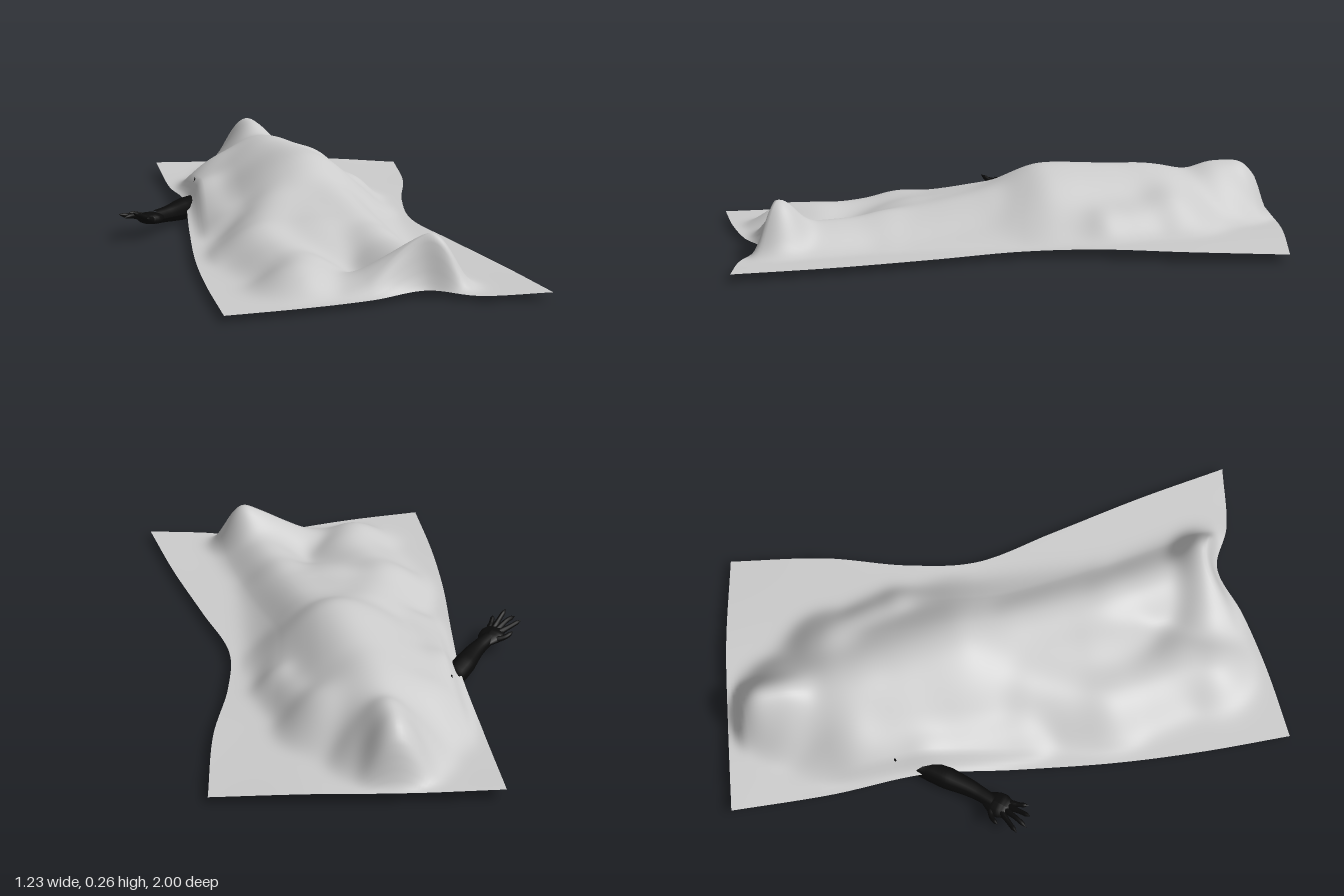
import * as THREE from 'three';

const V = (x, y, z) => new THREE.Vector3(x, y, z);
const curve = pts => new THREE.CatmullRomCurve3(pts.map(p => V(...p)));

// Sheet outline: four border curves, back is -z
const leftEdge = curve([[-0.315, 0.042, -1], [-0.33, 0.03, -0.65], [-0.335, 0.055, -0.32], [-0.38, 0.028, 0], [-0.43, 0.025, 0.35], [-0.455, 0.025, 0.65], [-0.465, 0.022, 0.97]]);
const rightEdge = curve([[0.615, 0.028, -0.84], [0.55, 0.035, -0.5], [0.46, 0.035, -0.22], [0.42, 0.028, 0.03], [0.475, 0.025, 0.33], [0.54, 0.025, 0.67], [0.588, 0.028, 0.998]]);
const backEdge = curve([[-0.315, 0.042, -1], [0, 0.04, -0.957], [0.3, 0.045, -0.91], [0.615, 0.028, -0.84]]);
const frontEdge = curve([[-0.465, 0.022, 0.97], [-0.2, 0.022, 0.955], [0.02, 0.022, 0.925], [0.21, 0.025, 0.88], [0.36, 0.02, 0.955], [0.588, 0.028, 0.998]]);

// Limbs under the sheet: x1, z1, height1, x2, z2, height2, reach
const limbs = [
  [0.01, -0.83, 0.215, 0.01, -0.72, 0.195, 0.14],  // head
  [0.01, -0.72, 0.175, 0.01, -0.5, 0.165, 0.22],   // neck
  [-0.13, -0.54, 0.115, 0.16, -0.54, 0.135, 0.2],  // shoulders
  [0, -0.5, 0.175, 0.04, -0.1, 0.195, 0.35],       // torso
  [0.03, -0.4, 0.16, 0.08, -0.1, 0.175, 0.24],     // belly
  [0.03, -0.1, 0.175, 0, 0.3, 0.115, 0.35],        // hips
  [-0.19, -0.52, 0.09, -0.24, -0.3, 0.075, 0.15],  // right upper arm
  [-0.24, -0.3, 0.075, -0.22, 0.05, 0.075, 0.15],
  [0.22, -0.52, 0.09, 0.28, -0.28, 0.075, 0.11],   // left arm
  [0.28, -0.28, 0.075, 0.22, 0.05, 0.05, 0.11],
  [-0.1, 0.1, 0.13, -0.2, 0.36, 0.095, 0.2],       // right leg
  [-0.2, 0.36, 0.095, -0.14, 0.66, 0.075, 0.18],
  [0.12, 0.1, 0.13, 0.15, 0.45, 0.09, 0.18],       // left leg
  [0.15, 0.45, 0.09, 0.21, 0.78, 0.085, 0.16],
  [-0.14, 0.66, 0.075, -0.17, 0.75, 0.085, 0.17],  // right foot
  [0.0, 0.79, 0.05, 0.24, 0.82, 0.187, 0.135],     // left foot and fold
];

// Soft maximum of all the limb bumps
function drape(x, z) {
  let sum = 0;
  for (const [x1, z1, h1, x2, z2, h2, reach] of limbs) {
    const dx = x2 - x1, dz = z2 - z1;
    const k = THREE.MathUtils.clamp(((x - x1) * dx + (z - z1) * dz) / (dx * dx + dz * dz), 0, 1);
    const t = Math.hypot(x - x1 - k * dx, z - z1 - k * dz) / reach;
    if (t < 1) sum += Math.pow((h1 + (h2 - h1) * k) * Math.pow(1 - t * t, 1.5), 5);
  }
  return Math.pow(sum, 0.2);
}

// Average neighbouring heights so the cloth hangs softly
function soften(heights, cols, rows, passes) {
  let h = heights;
  for (let n = 0; n < passes; n++) {
    h = h.map((c, i) => {
      const k = i % cols, j = Math.floor(i / cols);
      const l = h[k > 0 ? i - 1 : i], r = h[k < cols - 1 ? i + 1 : i];
      const b = h[j > 0 ? i - cols : i], f = h[j < rows - 1 ? i + cols : i];
      return c * 0.4 + (l + r + b + f) * 0.15;
    });
  }
  return h;
}

function makeSheet() {
  const nu = 80, nv = 160;
  const geo = new THREE.PlaneGeometry(1, 1, nu, nv).rotateX(-Math.PI / 2);
  const pos = geo.attributes.position;
  const sample = (c, n) => Array.from({ length: n + 1 }, (_, i) => c.getPoint(i / n));
  const L = sample(leftEdge, nv), R = sample(rightEdge, nv);
  const B = sample(backEdge, nu), F = sample(frontEdge, nu);
  const ground = [];
  for (let j = 0; j <= nv; j++) {
    for (let k = 0; k <= nu; k++) {
      const u = k / nu, v = j / nv;
      // Blend the four borders across the sheet
      ground.push(V(0, 0, 0)
        .addScaledVector(L[j], 1 - u).addScaledVector(R[j], u)
        .addScaledVector(B[k], 1 - v).addScaledVector(F[k], v)
        .addScaledVector(L[0], -(1 - u) * (1 - v)).addScaledVector(R[0], -u * (1 - v))
        .addScaledVector(L[nv], -(1 - u) * v).addScaledVector(R[nv], -u * v));
    }
  }
  const heights = soften(ground.map(p => drape(p.x, p.z)), nu + 1, nv + 1, 14);
  ground.forEach((p, i) => {
    const u = (i % (nu + 1)) / nu, v = Math.floor(i / (nu + 1)) / nv;
    const border = Math.min(u * 0.9, (1 - u) * 0.9, v * 1.9, (1 - v) * 1.9);
    const lift = heights[i] * THREE.MathUtils.smoothstep(border, -0.004, 0.06);
    pos.setXYZ(i, p.x, p.y + lift, p.z);
  });
  geo.computeVertexNormals();
  const mat = new THREE.MeshStandardMaterial({ color: 0xcccccc, side: THREE.DoubleSide });
  const mesh = new THREE.Mesh(geo, mat);
  mesh.name = 'drapedSheet';
  return mesh;
}

// Tube whose radius follows a list of values, closed where the radius is 0
function taperedTube(name, pts, radii, mat, flat = 1) {
  const path = curve(pts), seg = pts.length * 6, sides = 12;
  const geo = new THREE.TubeGeometry(path, seg, 1, sides, false);
  const pos = geo.attributes.position, v = V(0, 0, 0);
  for (let i = 0; i < pos.count; i++) {
    const t = Math.floor(i / (sides + 1)) / seg;
    const f = t * (radii.length - 1), a = Math.min(Math.floor(f), radii.length - 2);
    const r = THREE.MathUtils.lerp(radii[a], radii[a + 1], f - a);
    const c = path.getPointAt(t);
    v.fromBufferAttribute(pos, i).sub(c).multiplyScalar(r);
    v.y *= flat;
    v.add(c);
    pos.setXYZ(i, v.x, v.y, v.z);
  }
  geo.computeVertexNormals();
  const mesh = new THREE.Mesh(geo, mat);
  mesh.name = name;
  return mesh;
}

function makeArm() {
  const arm = new THREE.Group();
  arm.name = 'exposedArm';
  const skin = new THREE.MeshStandardMaterial({ color: 0x0a0a0a });
  arm.add(taperedTube('forearm',
    [[-0.277, 0.12, -0.413], [-0.275, 0.06, -0.39], [-0.3, 0.04, -0.32], [-0.36, 0.045, -0.245], [-0.42, 0.052, -0.17], [-0.485, 0.058, -0.105]],
    [0, 0.022, 0.036, 0.04, 0.039, 0.033, 0.027, 0.024], skin));
  arm.add(taperedTube('palm',
    [[-0.455, 0.055, -0.14], [-0.495, 0.06, -0.095], [-0.54, 0.068, -0.045]],
    [0.015, 0.03, 0.043, 0.046, 0.036, 0], skin, 0.45));
  // Fingers: knuckle, middle joint, tip
  const fingers = [
    [[-0.525, 0.066, -0.088], [-0.575, 0.078, -0.07], [-0.619, 0.09, -0.053]],
    [[-0.526, 0.068, -0.07], [-0.57, 0.086, -0.04], [-0.606, 0.086, -0.016]],
    [[-0.518, 0.068, -0.055], [-0.55, 0.09, -0.022], [-0.577, 0.108, 0.004]],
    [[-0.503, 0.064, -0.05], [-0.521, 0.076, -0.015], [-0.53, 0.084, 0.008]],
    [[-0.5, 0.058, -0.12], [-0.54, 0.068, -0.124], [-0.574, 0.08, -0.11]],
  ];
  fingers.forEach((pts, i) => arm.add(
    taperedTube(i < 4 ? 'finger' + (i + 1) : 'thumb', pts, [0.012, 0.011, 0.009, 0.0085, 0.008, 0], skin)));
  return arm;
}

export function createModel() {
  const model = new THREE.Group();
  model.name = 'coveredFigure';
  model.add(makeSheet(), makeArm());
  return model;
}
